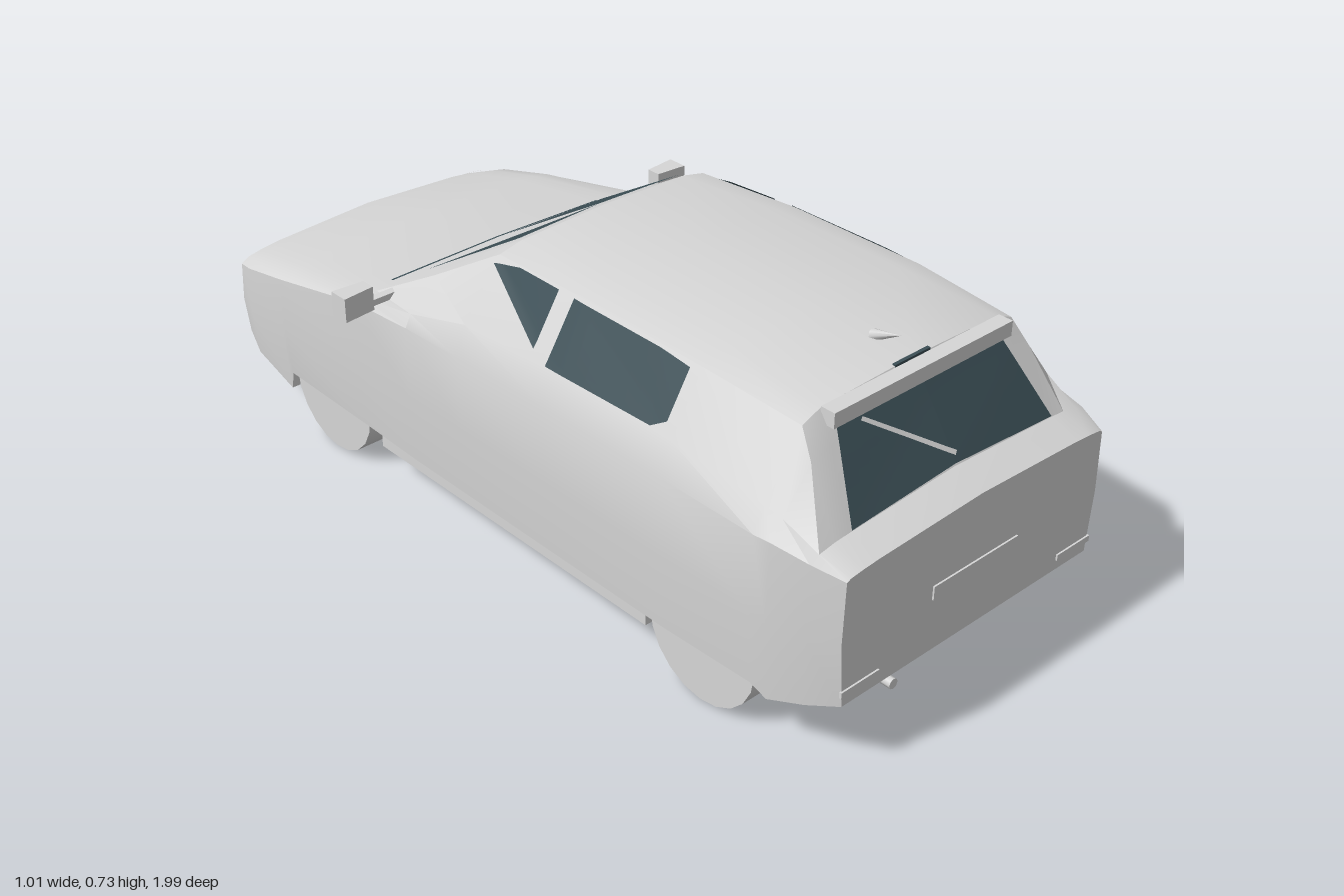
import * as THREE from 'three';
import { toCreasedNormals } from 'three/addons/utils/BufferGeometryUtils.js';

const paint = new THREE.MeshStandardMaterial({ color: 0xd6d6d6, side: THREE.DoubleSide });
paint.name = 'pale grey paint';
const glass = new THREE.MeshStandardMaterial({ color: 0x3b4e55, side: THREE.DoubleSide });
glass.name = 'dark tinted glass';

// Half cross-section: sill, flank, belt, window base, roof edge, roof inner, centre
function section(z, sill, w, belt, gx, gy, dx, dy, ex, ey, top) {
  const half = [[w - 0.007, sill], [w + 0.004, (sill + belt) / 2], [w, belt], [gx, gy], [dx, dy], [ex, ey], [0, top]];
  const mirror = half.slice(0, -1).reverse().map(([x, y]) => [-x, y]);
  return half.concat(mirror).map(([x, y]) => [x, y, z]);
}
function hoodSection(z, sill, w, belt, top) {
  const h = (t) => belt + t * (top - belt);
  return section(z, sill, w, belt, w - 0.02, h(0.3), w - 0.06, h(0.5), w - 0.11, h(0.65), top);
}

function bodyGeometry() {
  const s = [
    hoodSection(-0.995, 0.13, 0.38, 0.32, 0.36),
    hoodSection(-0.92, 0.11, 0.405, 0.345, 0.39),
    hoodSection(-0.76, 0.085, 0.42, 0.385, 0.42),
    hoodSection(-0.75, 0.13, 0.42, 0.387, 0.422),
    hoodSection(-0.45, 0.125, 0.42, 0.45, 0.467),
    section(-0.26, 0.12, 0.42, 0.465, 0.405, 0.495, 0.335, 0.565, 0.27, 0.576, 0.583),
    section(-0.08, 0.12, 0.42, 0.47, 0.395, 0.54, 0.295, 0.672, 0.235, 0.685, 0.692),
    section(0.2, 0.12, 0.42, 0.475, 0.39, 0.55, 0.305, 0.685, 0.24, 0.702, 0.71),
    section(0.55, 0.12, 0.42, 0.48, 0.39, 0.55, 0.31, 0.682, 0.245, 0.7, 0.704),
    section(0.8, 0.13, 0.42, 0.48, 0.39, 0.53, 0.3, 0.665, 0.25, 0.685, 0.692),
    section(0.84, 0.11, 0.415, 0.48, 0.385, 0.52, 0.315, 0.61, 0.262, 0.624, 0.63),
    section(0.925, 0.14, 0.4, 0.47, 0.375, 0.48, 0.335, 0.487, 0.295, 0.49, 0.505),
    section(0.995, 0.165, 0.375, 0.455, 0.365, 0.46, 0.33, 0.464, 0.29, 0.467, 0.478),
  ];
  const n = s[0].length, idx = [];
  const quad = (a, b, c, d) => idx.push(a, b, c, a, c, d);
  const cap = (i, flip) => {
    for (let k = 1; k < n - 1; k++) {
      const a = i * n;
      if (flip) idx.push(a, a + k + 1, a + k); else idx.push(a, a + k, a + k + 1);
    }
  };
  for (let i = 0; i < s.length - 1; i++) {
    const a = i * n, b = a + n;
    for (let j = 0; j < n - 1; j++) quad(a + j, a + j + 1, b + j + 1, b + j);
    // bumper undersides; the wheel bays stay open
    if (i < 2 || i >= 10) quad(a + n - 1, a, b, b + n - 1);
  }
  cap(0, true);
  cap(2, false);
  cap(10, true);
  cap(s.length - 1, false);
  const g = new THREE.BufferGeometry();
  g.setAttribute('position', new THREE.Float32BufferAttribute(s.flat(2), 3));
  g.setIndex(idx);
  return toCreasedNormals(g, 0.45);
}

// Ray from outside the car through a 2D point on one side of it
const rays = {
  left: (z, y) => [[2, y, z], [-1, 0, 0]],
  right: (z, y) => [[-2, y, z], [1, 0, 0]],
  top: (x, z) => [[x, 2, z], [0, -1, 0]],
  tail: (x, y) => [[x, y, 2], [0, 0, -1]],
};

// Thin four-cornered patch laid on the body surface
function patch(body, side, corners, lift = 0.005, steps = 8) {
  const [p, q, r, s] = corners, pos = [], idx = [];
  for (let i = 0; i <= steps; i++) {
    for (let j = 0; j <= steps; j++) {
      const u = i / steps, v = j / steps;
      const at = (k) => (1 - v) * ((1 - u) * p[k] + u * q[k]) + v * ((1 - u) * s[k] + u * r[k]);
      const [o, d] = rays[side](at(0) + 1e-4, at(1) + 1e-4);
      const ray = new THREE.Raycaster(new THREE.Vector3(...o), new THREE.Vector3(...d));
      const hit = ray.intersectObject(body)[0];
      const pt = hit ? hit.point.addScaledVector(hit.face.normal, lift) : new THREE.Vector3(...o);
      pos.push(pt.x, pt.y, pt.z);
      if (i < steps && j < steps) {
        const a = i * (steps + 1) + j, b = a + steps + 1;
        idx.push(a, b, b + 1, a, b + 1, a + 1);
      }
    }
  }
  const g = new THREE.BufferGeometry();
  g.setAttribute('position', new THREE.Float32BufferAttribute(pos, 3));
  g.setIndex(idx);
  g.computeVertexNormals();
  return g;
}

export function createModel() {
  const car = new THREE.Group();
  car.name = 'hatchback';
  const add = (name, geo, mat, x = 0, y = 0, z = 0) => {
    const m = new THREE.Mesh(geo, mat);
    m.name = name;
    m.position.set(x, y, z);
    car.add(m);
    return m;
  };
  const box = (name, w, h, d, x, y, z, mat = paint) => add(name, new THREE.BoxGeometry(w, h, d), mat, x, y, z);

  const body = add('body', bodyGeometry(), paint);
  body.updateMatrixWorld();
  const lay = (name, side, corners, mat = glass, lift) => add(name, patch(body, side, corners, lift), mat);

  // Floor pan between the wheel bays
  box('floorPan', 0.8, 0.3, 0.9, 0, 0.23, 0.04);

  // Wheels
  for (const sx of [1, -1]) {
    for (const z of [0.66, -0.59]) {
      const geo = toCreasedNormals(new THREE.CylinderGeometry(0.147, 0.147, 0.09, 20), 0.5);
      add('wheel', geo, paint, sx * 0.363, 0.146, z).rotation.z = Math.PI / 2;
    }
  }

  // Side windows
  for (const side of ['left', 'right']) {
    lay('rearSideWindow', side, [[0.525, 0.575], [0.49, 0.555], [0.44, 0.677], [0.525, 0.672]]);
    lay('rearSideWindow', side, [[0.49, 0.555], [0.18, 0.55], [0.18, 0.677], [0.44, 0.677]]);
    lay('frontSideWindow', side, [[0.13, 0.565], [-0.08, 0.655], [0, 0.672], [0.13, 0.676]]);
  }
  lay('quarterWindow', 'top', [[0.38, -0.37], [0.405, -0.37], [0.4, -0.25], [0.4, -0.25]]);

  // Windscreen panes and the strip at their base
  lay('windscreenPane', 'top', [[0, -0.43], [0.31, -0.44], [0.23, -0.09], [0, -0.09]]);
  lay('windscreenPane', 'top', [[-0.29, -0.35], [0, -0.09], [-0.23, -0.09], [-0.23, -0.09]]);
  lay('windscreenBase', 'top', [[-0.31, -0.462], [0.3, -0.455], [0.3, -0.45], [-0.31, -0.455]]);

  // Tailgate glass and wiper
  for (const sx of [1, -1]) {
    lay('tailgateWindow', 'tail', [[0, 0.509], [sx * 0.292, 0.492], [sx * 0.236, 0.655], [0, 0.655]]);
  }
  lay('rearWiper', 'tail', [[-0.185, 0.64], [0, 0.522], [0.008, 0.528], [-0.178, 0.645]], paint, 0.012);

  // Spoiler, high brake light and roof aerial
  box('spoiler', 0.51, 0.034, 0.035, 0, 0.672, 0.82);
  box('brakeLight', 0.1, 0.006, 0.008, 0, 0.691, 0.798, glass);
  add('aerial', new THREE.ConeGeometry(0.013, 0.075, 8), paint, 0, 0.711, 0.735).rotation.x = 1.2;

  // Door mirrors, narrower towards the body
  for (const sx of [1, -1]) {
    const geo = new THREE.BoxGeometry(0.08, 0.058, 0.05);
    const p = geo.attributes.position;
    for (let i = 0; i < p.count; i++) if (p.getX(i) * sx < 0) p.setZ(i, p.getZ(i) * 0.7);
    geo.computeVertexNormals();
    add('doorMirror', geo, paint, sx * 0.465, 0.497, -0.385);
    box('mirrorStem', 0.09, 0.015, 0.02, sx * 0.4, 0.48, -0.385);
  }

  // Tail trim, nose trim and exhaust
  box('tailPlate', 0.25, 0.032, 0.006, 0, 0.306, 0.996);
  for (const sx of [1, -1]) {
    box('reflector', 0.105, 0.014, 0.006, sx * 0.322, 0.196, 0.996);
    lay('hoodTrim', 'top', [[sx * 0.1, -0.948], [sx * 0.33, -0.945], [sx * 0.33, -0.938], [sx * 0.1, -0.941]], paint);
  }
  add('exhaustPipe', new THREE.CylinderGeometry(0.012, 0.012, 0.19, 8), paint, -0.22, 0.138, 0.9).rotation.x = Math.PI / 2;
  return car;
}
